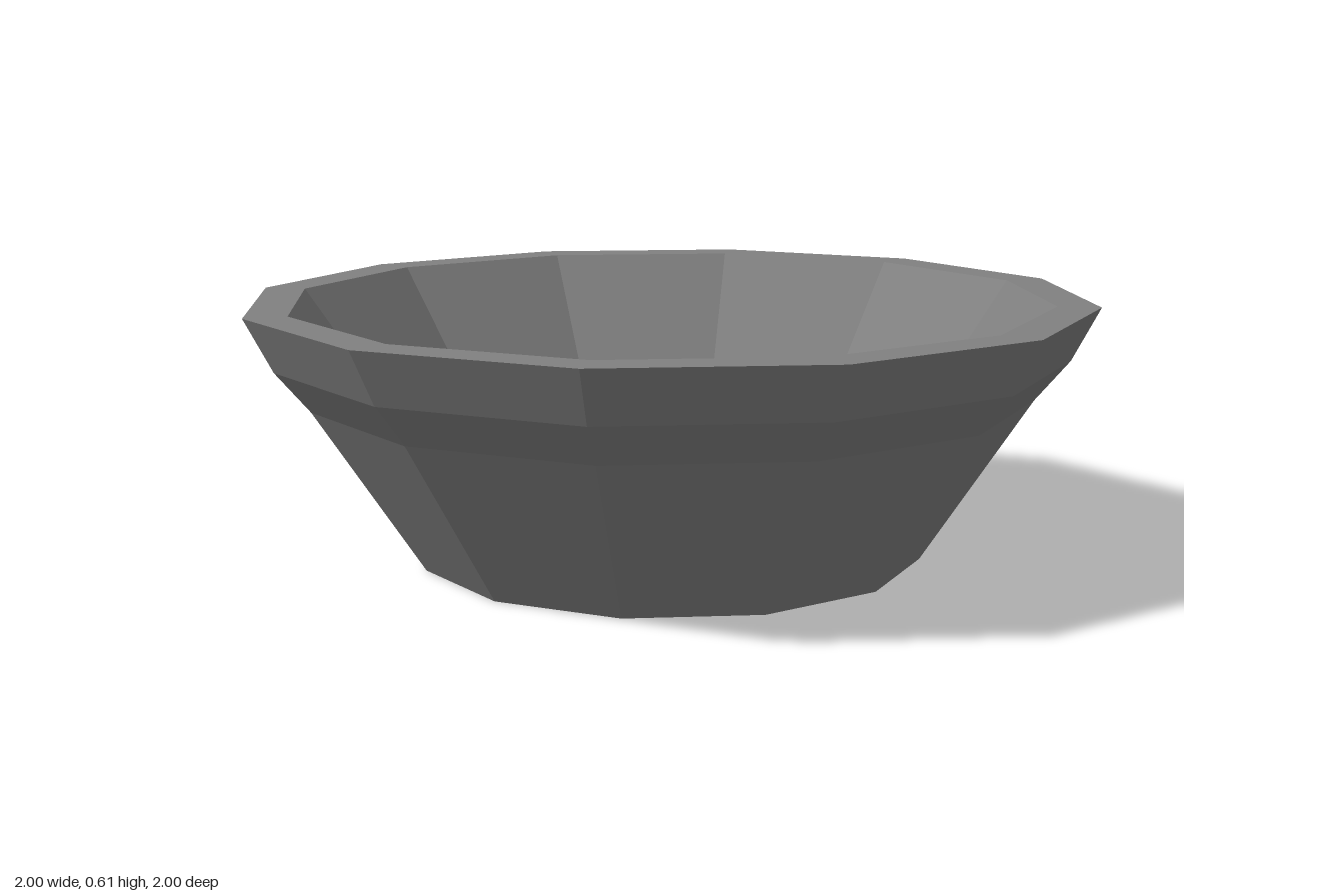
import * as THREE from 'three';

export function createModel() {
  const group = new THREE.Group();
  group.name = 'bowl';

  const stoneGrey = new THREE.MeshStandardMaterial({ color: 0x808080, flatShading: true });
  stoneGrey.name = 'stone grey';

  // Closed twelve-sided shell: base, stepped outer wall, flat rim, sloped inner wall, floor
  const profile = [
    [0, 0], [0.6, 0], [0.855, 0.39], [0.935, 0.485], [1, 0.61],
    [0.9, 0.61], [0.54, 0.11], [0, 0.11],
  ].map(([r, y]) => new THREE.Vector2(r, y));

  const shell = new THREE.Mesh(new THREE.LatheGeometry(profile, 12), stoneGrey);
  shell.name = 'bowlShell';
  group.add(shell);
  return group;
}
